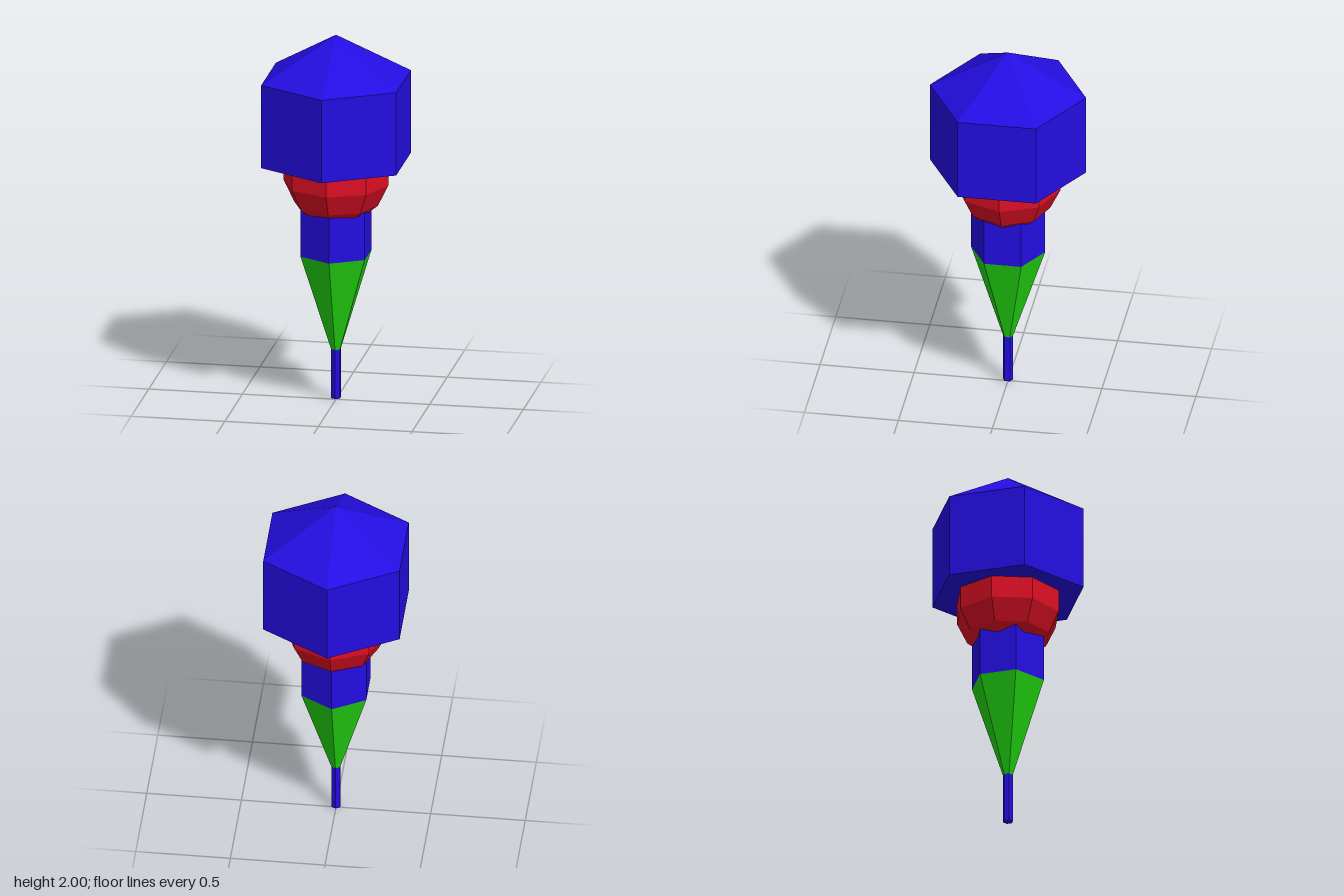
import * as THREE from 'three';

const mat = (name, color) => {
  const m = new THREE.MeshStandardMaterial({ color, flatShading: true });
  m.name = name;
  return m;
};

export function createModel() {
  const group = new THREE.Group();
  const blue = mat('blue', 0x240de2);
  const green = mat('green', 0x22d611);
  const red = mat('red', 0xde0f24);

  // Six-sided section between two heights, corners on the z axis
  const section = (name, material, y0, r0, y1, r1, open = false) => {
    const geo = new THREE.CylinderGeometry(r1, r0, y1 - y0, 6, 1, open);
    const mesh = new THREE.Mesh(geo, material);
    mesh.name = name;
    mesh.position.y = (y0 + y1) / 2;
    group.add(mesh);
  };

  // Thin rod with a slightly pointed end
  section('rodTip', blue, 0, 0, 0.01, 0.027, true);
  section('rod', blue, 0.01, 0.027, 0.278, 0.027);

  // Tapered lower body and collar
  section('taper', green, 0.278, 0.027, 0.803, 0.198);
  section('neck', blue, 0.803, 0.198, 1.12, 0.198);

  // Faceted ball half sunk into the head
  const ball = new THREE.Mesh(new THREE.SphereGeometry(0.287, 8, 7), red);
  ball.name = 'ball';
  ball.position.y = 1.254;
  group.add(ball);

  // Head and pointed roof
  section('head', blue, 1.31, 0.416, 1.764, 0.416);
  section('roof', blue, 1.764, 0.416, 2, 0, true);

  return group;
}
